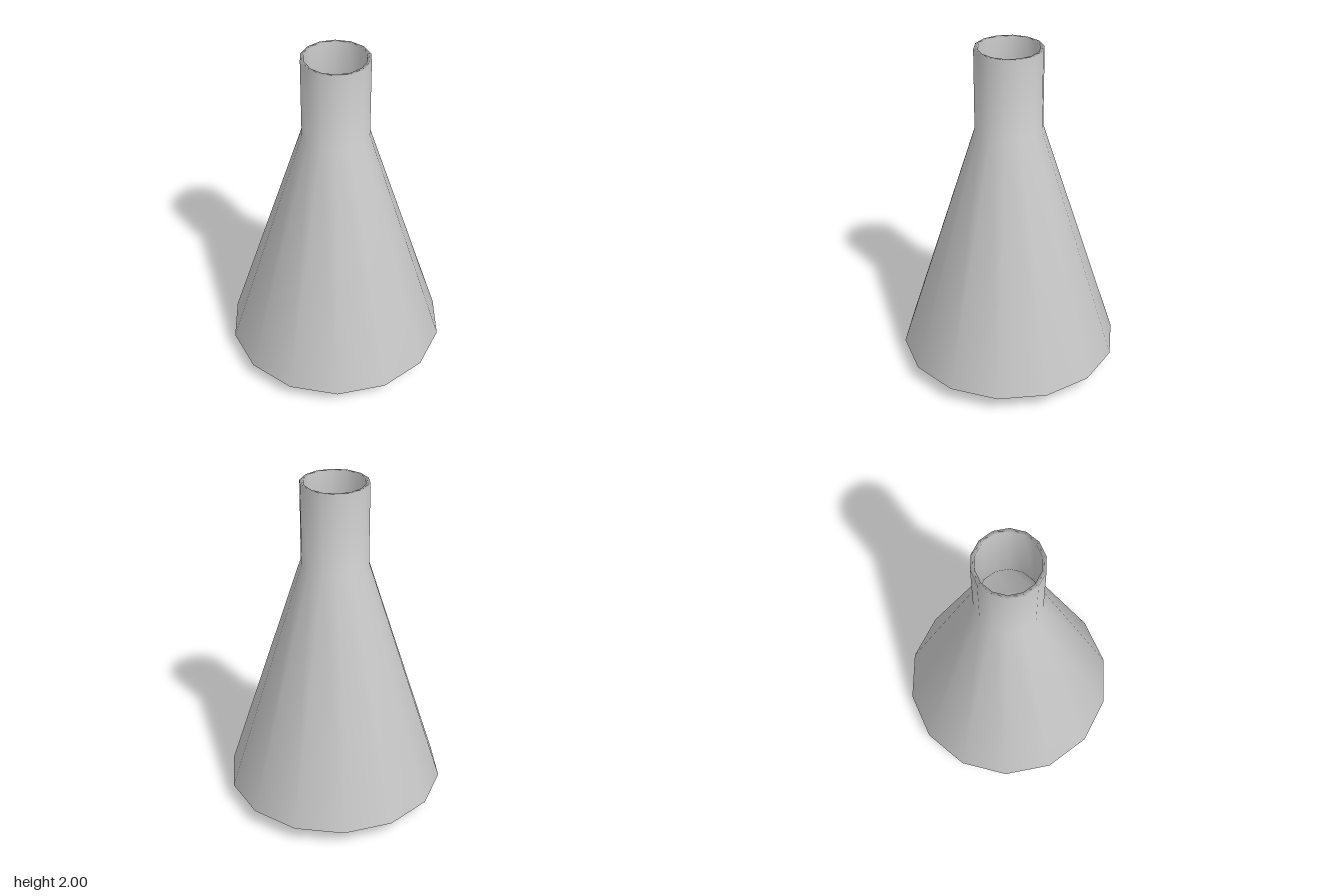
import * as THREE from 'three';

const SIDES = 14;

export function createModel() {
  const model = new THREE.Group();
  model.name = 'conicalFlask';

  // Profile: base, bevel, cone and neck outside, then back down the inner wall
  const profile = [
    [0, 0], [0.5, 0], [0.65, 0.1], [0.195, 1.53], [0.195, 2],
    [0.172, 2], [0.172, 1.53], [0.62, 0.11], [0.49, 0.025], [0, 0.025],
  ].map(([r, y]) => new THREE.Vector2(r, y));

  const flask = new THREE.Mesh(
    new THREE.LatheGeometry(profile, SIDES),
    new THREE.MeshStandardMaterial({ color: 0xcccccc, side: THREE.DoubleSide })
  );
  flask.name = 'flaskBody';
  model.add(flask);

  return model;
}
